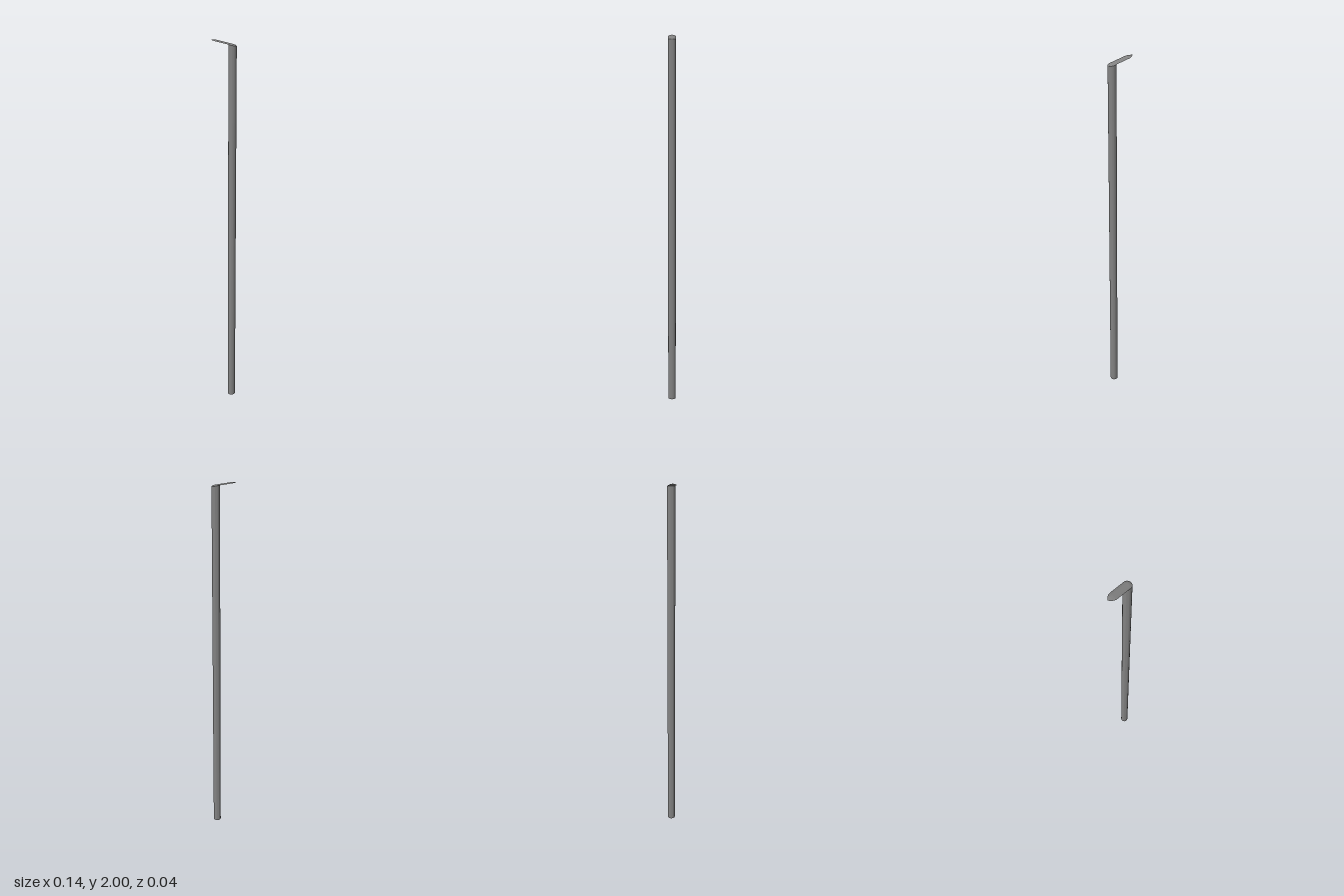
import * as THREE from 'three';
import { toCreasedNormals } from 'three/addons/utils/BufferGeometryUtils.js';

const R = 0.021, POLE_X = 0.048, TIP_X = -0.069, END_X = POLE_X + R, POLE_H = 1.97;
const TAPER_X = -0.035, DOME = 0.006;

// Height of the sloping underside of the head at a given x
const slopeY = (x) => 1.971 + (END_X - x) * 0.208;

// Half width of the head: pointed at the tip, round over the pole
function halfWidth(x) {
  if (x < TAPER_X) return R * Math.max(0, 1 - ((TAPER_X - x) / (TAPER_X - TIP_X)) ** 2);
  if (x > POLE_X) return Math.sqrt(Math.max(0, R * R - (x - POLE_X) ** 2));
  return R;
}

// Move the vertices of a geometry by a rule, then smooth it but keep sharp edges
function reshape(geometry, rule) {
  const p = geometry.attributes.position, v = new THREE.Vector3();
  for (let i = 0; i < p.count; i++) {
    rule(v.fromBufferAttribute(p, i));
    p.setXYZ(i, v.x, v.y, v.z);
  }
  return toCreasedNormals(geometry, 0.5);
}

export function createModel() {
  const group = new THREE.Group();
  const material = new THREE.MeshStandardMaterial({ color: 0x828282 });
  const add = (name, geometry) => {
    const mesh = new THREE.Mesh(geometry, material);
    mesh.name = name;
    group.add(mesh);
  };

  // Round pole, its top cut to meet the underside of the head
  const pole = new THREE.CylinderGeometry(R, R, POLE_H, 32);
  pole.translate(POLE_X, POLE_H / 2, 0);
  add('pole', reshape(pole, (v) => {
    if (v.y > 1) v.y = slopeY(v.x) - 0.0005;
  }));

  // Thin tilted lamp head: flat underside, gently domed top, thin rim
  const head = new THREE.CylinderGeometry(1, 1, 1, 32, 40, true);
  head.rotateZ(-Math.PI / 2);
  add('lampHead', reshape(head, (v) => {
    const along = (1 - Math.cos(Math.PI * (v.x + 0.5))) / 2;
    const x = TIP_X + along * (END_X - TIP_X), w = halfWidth(x);
    const rise = v.y > 0 ? DOME * (w / R) * v.y * v.y : 0;
    v.set(x, slopeY(x) + rise, v.z * w);
  }));

  return group;
}
